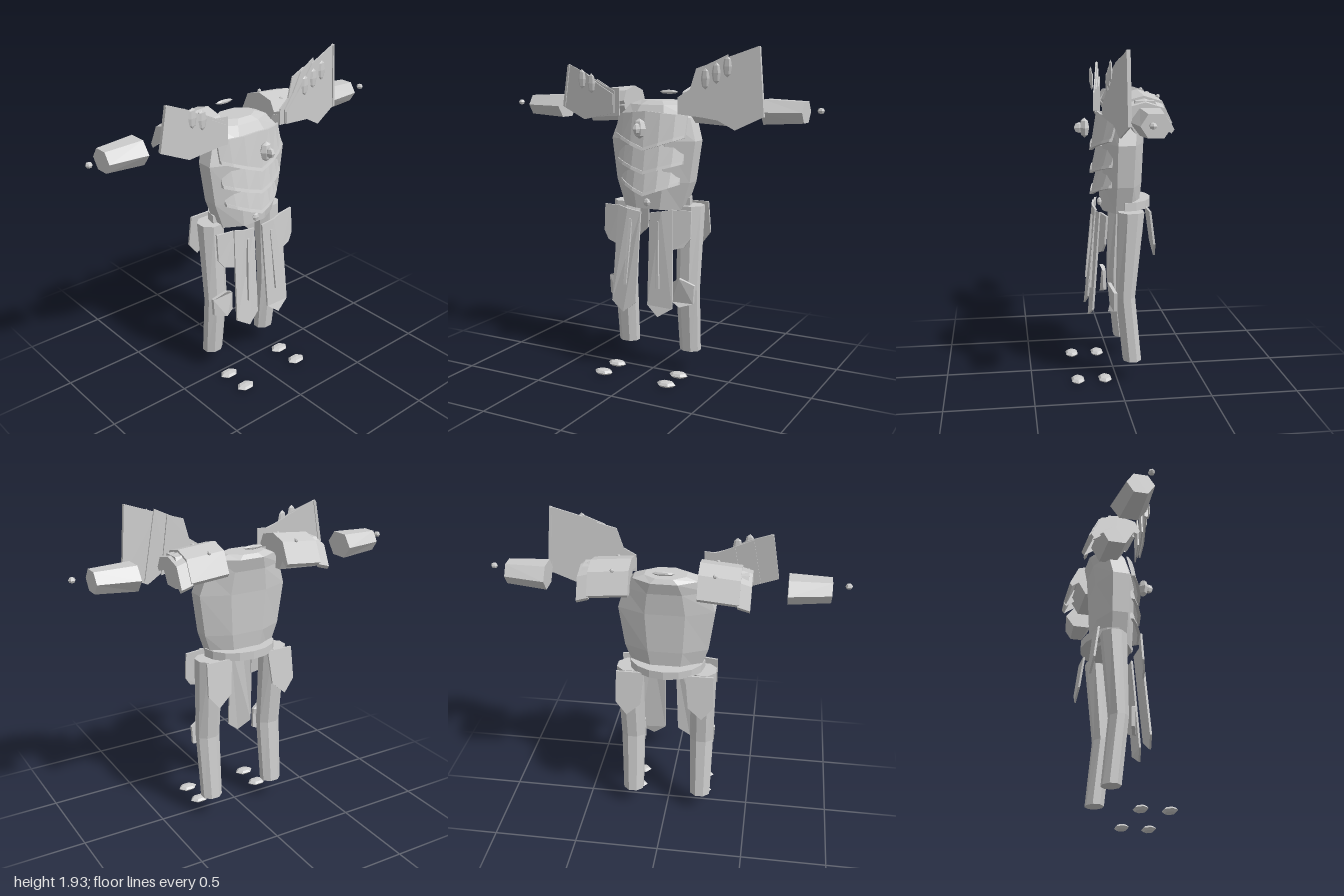
import * as THREE from 'three';

const grey = new THREE.MeshStandardMaterial({ color: 0xcccccc, flatShading: true, side: THREE.DoubleSide });

// Closed skin over a list of rings of [x, y, z] points, with capped ends.
function loft(rings) {
  const pos = [], n = rings[0].length;
  const tri = (a, b, c) => pos.push(...a, ...b, ...c);
  for (let i = 0; i < rings.length - 1; i++) {
    for (let j = 0; j < n; j++) {
      const k = (j + 1) % n, a = rings[i], b = rings[i + 1];
      tri(a[j], a[k], b[k]);
      tri(a[j], b[k], b[j]);
    }
  }
  const cap = (ring, flip) => {
    const mid = [0, 1, 2].map(c => ring.reduce((s, p) => s + p[c], 0) / n);
    ring.forEach((p, j) => {
      const q = ring[(j + 1) % n];
      flip ? tri(mid, q, p) : tri(mid, p, q);
    });
  };
  cap(rings[0], true);
  cap(rings[rings.length - 1], false);
  // Turn the skin outward if the rings ran the other way.
  let volume = 0;
  const v = i => new THREE.Vector3(pos[i], pos[i + 1], pos[i + 2]);
  for (let i = 0; i < pos.length; i += 9) volume += v(i).dot(v(i + 3).cross(v(i + 6)));
  if (volume < 0) {
    for (let i = 0; i < pos.length; i += 9) {
      for (let c = 0; c < 3; c++) [pos[i + 3 + c], pos[i + 6 + c]] = [pos[i + 6 + c], pos[i + 3 + c]];
    }
  }
  const g = new THREE.BufferGeometry();
  g.setAttribute('position', new THREE.Float32BufferAttribute(pos, 3));
  g.computeVertexNormals();
  return g;
}

// Polygon ring: upright when axis is 'y', sideways when axis is 'x'.
function ring(axis, at, c1, c2, r1, r2, sides, turn = 0) {
  return Array.from({ length: sides }, (_, i) => {
    const a = (i / sides) * Math.PI * 2 + turn;
    const p = c1 + r1 * Math.cos(a), q = c2 + r2 * Math.sin(a);
    return axis === 'y' ? [p, at, q] : [at, p, q];
  });
}

// Thin plate cut from an outline, then laid onto a surface z = depthAt(x, y).
function plate(points, thick, depthAt) {
  const shape = new THREE.Shape(points.map(p => new THREE.Vector2(...p)));
  const g = new THREE.ExtrudeGeometry(shape, { depth: thick, bevelEnabled: false });
  const p = g.attributes.position;
  for (let i = 0; i < p.count; i++) p.setZ(i, p.getZ(i) + depthAt(p.getX(i), p.getY(i)));
  g.computeVertexNormals();
  return g;
}

export function createModel() {
  const model = new THREE.Group();
  const add = (name, geometry) => {
    const m = new THREE.Mesh(geometry, grey);
    m.name = name;
    model.add(m);
    return m;
  };
  const gem = (name, x, y, z, rx, ry, rz, sides = 6, rows = 4) => {
    const m = add(name, new THREE.SphereGeometry(1, sides, rows));
    m.position.set(x, y, z);
    m.scale.set(rx, ry, rz);
  };

  // Torso: y, centre z, half width, half depth
  add('torso', loft([
    [1.0, -0.035, 0.185, 0.105], [1.16, -0.04, 0.24, 0.115], [1.4, -0.043, 0.273, 0.12],
    [1.53, -0.06, 0.232, 0.115], [1.6, -0.09, 0.18, 0.105], [1.625, -0.1, 0.115, 0.08],
  ].map(([y, z, rx, rz]) => ring('y', y, 0, z, rx, rz / Math.cos(Math.PI / 8) * 0.98, 8, Math.PI / 8)
    .map(([x, h, d]) => [x / Math.cos(Math.PI / 8), h, d]))));

  // Belt wrapped round the back of the waist
  add('belt', loft(Array.from({ length: 9 }, (_, i) => {
    const a = Math.PI * i / 8, c = Math.cos(a), s = Math.sin(a);
    return [[0.22, 0.18, 1.02], [0.22, 0.18, 1.068], [0.17, 0.09, 1.068], [0.17, 0.09, 1.02]]
      .map(([rx, rz, y]) => [rx * c, y, -0.04 - rz * s]);
  })));

  // Three overlapping chest plates, each with a raised lower rim
  const chest = [
    // half width, side top, side bottom, centre top, centre bottom
    [0.225, 1.545, 1.42, 1.57, 1.345],
    [0.212, 1.38, 1.27, 1.38, 1.21],
    [0.19, 1.24, 1.15, 1.24, 1.083],
  ];
  for (const [w, st, sb, ct, cb] of chest) {
    const columns = [-1, -0.75, -0.4, 0, 0.4, 0.75, 1];
    const band = (lift, height, out) => loft(columns.map(u => {
      const k = 1 - Math.abs(u), x = u * w, round = -0.085 * u * u;
      const bottom = sb + (cb - sb) * k, top = height || st + (ct - st) * k - bottom;
      const zb = 0.118 + round + out, zt = (height ? 0.112 : 0.085) + round + out;
      return [[x, bottom, zb + lift], [x, bottom + top, zt + lift], [x, bottom + top, zt], [x, bottom, zb]];
    }));
    add('chestPlate', band(0.012, 0, 0));
    add('chestPlateRim', band(0.014, 0.018, 0.006));
  }
  gem('chestGem', 0, 1.475, 0.165, 0.042, 0.058, 0.03);
  gem('chestGemCore', 0, 1.475, 0.195, 0.02, 0.032, 0.035);
  gem('beltGem', 0, 1.04, 0.08, 0.024, 0.024, 0.015);
  gem('browGem', 0, 1.667, -0.2, 0.062, 0.013, 0.012);

  for (const s of [-1, 1]) {
    const mirror = pts => pts.map(([x, y]) => [s * x, y]);

    // Upper arm, forearm and hand bead
    add('upperArm', loft([
      ring('x', s * 0.2, 1.59, -0.11, 0.1, 0.1, 6, Math.PI / 6),
      ring('x', s * 0.45, 1.575, -0.11, 0.1, 0.1, 6, Math.PI / 6),
    ]));
    add('forearm', loft([
      ring('x', s * 0.66, 1.575, -0.098, 0.08, 0.103, 6, Math.PI / 2),
      ring('x', s * 0.89, 1.578, -0.088, 0.067, 0.078, 6, Math.PI / 2),
    ]));
    gem('handBead', s * 0.98, 1.59, -0.055, 0.02, 0.017, 0.02);

    // Shoulder guard: bent shell of z, y points over the arm
    const arch = [[0.02, 1.62], [-0.01, 1.68], [-0.11, 1.705], [-0.21, 1.675], [-0.265, 1.56]];
    const shell = (x, drop) => [
      ...arch.map(([z, y]) => [s * x, y - drop, z]),
      ...arch.map(([z, y]) => [s * x, y - drop - 0.02, z * 0.9 - 0.011]).reverse(),
    ];
    add('shoulderGuard', loft([shell(0.185, 0), shell(0.41, 0.02)]));
    add('shoulderGuardEdge', loft([shell(0.4, 0.03), shell(0.468, 0.05)]));
    for (const z of [-0.21, -0.02]) gem('shoulderStud', s * 0.275, 1.672, z, 0.012, 0.012, 0.012);

    // Leg: y, centre x, centre z, half width, half depth
    add('leg', loft([
      [1.02, 0.215, -0.075, 0.08, 0.078], [0.52, 0.21, -0.045, 0.074, 0.057], [0.13, 0.21, -0.085, 0.065, 0.056],
    ].map(([y, x, z, rx, rz]) => ring('y', y, s * x, z, rx, rz, 8, Math.PI / 8))));

    // Hanging plates: long front, hip, rear and knee
    const frontZ = (x, y) => 0.1 + (1.02 - y) * 0.085 - 0.15 * Math.abs(Math.abs(x) - 0.11);
    add('frontSkirtPlate', plate(mirror(
      [[0.03, 0.985], [0.11, 1.0], [0.18, 1.015], [0.2, 0.44], [0.115, 0.385], [0.04, 0.445]]), 0.012, frontZ));
    add('frontSkirtRib', plate(mirror(
      [[0.08, 0.94], [0.097, 0.94], [0.117, 0.55], [0.1, 0.55]]), 0.018, frontZ));
    add('hipPlate', plate(mirror(
      [[0.17, 1.01], [0.285, 1.01], [0.285, 0.85], [0.25, 0.8], [0.18, 0.78]]), 0.012,
    (x, y) => 0.085 + (1.01 - y) * 0.07 - 0.25 * Math.max(0, Math.abs(x) - 0.2)));
    add('rearSkirtPlate', plate(mirror(
      [[0.12, 1.03], [0.28, 1.03], [0.285, 0.84], [0.22, 0.76], [0.14, 0.83]]), 0.012,
    (x, y) => -0.18 - (1.03 - y) * 0.13));
    add('kneePlate', plate(mirror(
      [[0.15, 0.57], [0.2, 0.6], [0.285, 0.56], [0.278, 0.45], [0.2, 0.425], [0.145, 0.45]]), 0.02,
    (x, y) => 0.045 - 0.35 * Math.abs(Math.abs(x) - 0.2) - 0.5 * Math.abs(y - 0.52) * 0.2));

    // Two flat foot stones
    for (const z of [0.235, 0.075]) gem('footStone', s * 0.21, 0.018, z, 0.06, 0.018, 0.042);
  }

  // Shoulder fans: layered plates, the left one larger
  const fans = [
    { side: 1, name: 'leftFan', rim: [[0.642, 1.925], [0.655, 1.93], [0.685, 1.55], [0.665, 1.545]],
      layers: [
        [[0.19, 1.65], [0.26, 1.695], [0.295, 1.81], [0.4, 1.845], [0.45, 1.52], [0.33, 1.54], [0.19, 1.555]],
        [[0.22, 1.64], [0.29, 1.72], [0.36, 1.83], [0.475, 1.885], [0.55, 1.5], [0.4, 1.54], [0.22, 1.56]],
        [[0.22, 1.63], [0.32, 1.72], [0.45, 1.86], [0.65, 1.93], [0.68, 1.55], [0.525, 1.475], [0.415, 1.535], [0.22, 1.56]],
      ],
      gems: [[0.365, 1.755], [0.43, 1.785], [0.495, 1.82]] },
    { side: -1, name: 'rightFan', rim: [[0.55, 1.825], [0.565, 1.825], [0.607, 1.58], [0.59, 1.575]],
      layers: [
        [[0.19, 1.695], [0.26, 1.695], [0.36, 1.745], [0.4, 1.52], [0.19, 1.535]],
        [[0.22, 1.68], [0.3, 1.71], [0.46, 1.79], [0.51, 1.54], [0.4, 1.525], [0.22, 1.55]],
        [[0.22, 1.66], [0.34, 1.72], [0.42, 1.775], [0.56, 1.83], [0.605, 1.575], [0.44, 1.505], [0.22, 1.55]],
      ],
      gems: [[0.435, 1.745], [0.37, 1.72]] },
  ];
  for (const { side, name, rim, layers, gems } of fans) {
    const lay = back => (x => 0.07 - 0.17 * (Math.abs(x) - 0.28) - back);
    const flip = pts => pts.map(([x, y]) => [side * x, y]);
    layers.forEach((pts, i) => add(name + 'Layer', plate(flip(pts), 0.008, lay((2 - i) * 0.013))));
    add(name + 'Rim', plate(flip(rim), 0.02, lay(0.005)));
    for (const [x, y] of gems) gem(name + 'Gem', side * x, y, 0.08, 0.027, 0.058, 0.01);
  }
  return model;
}
